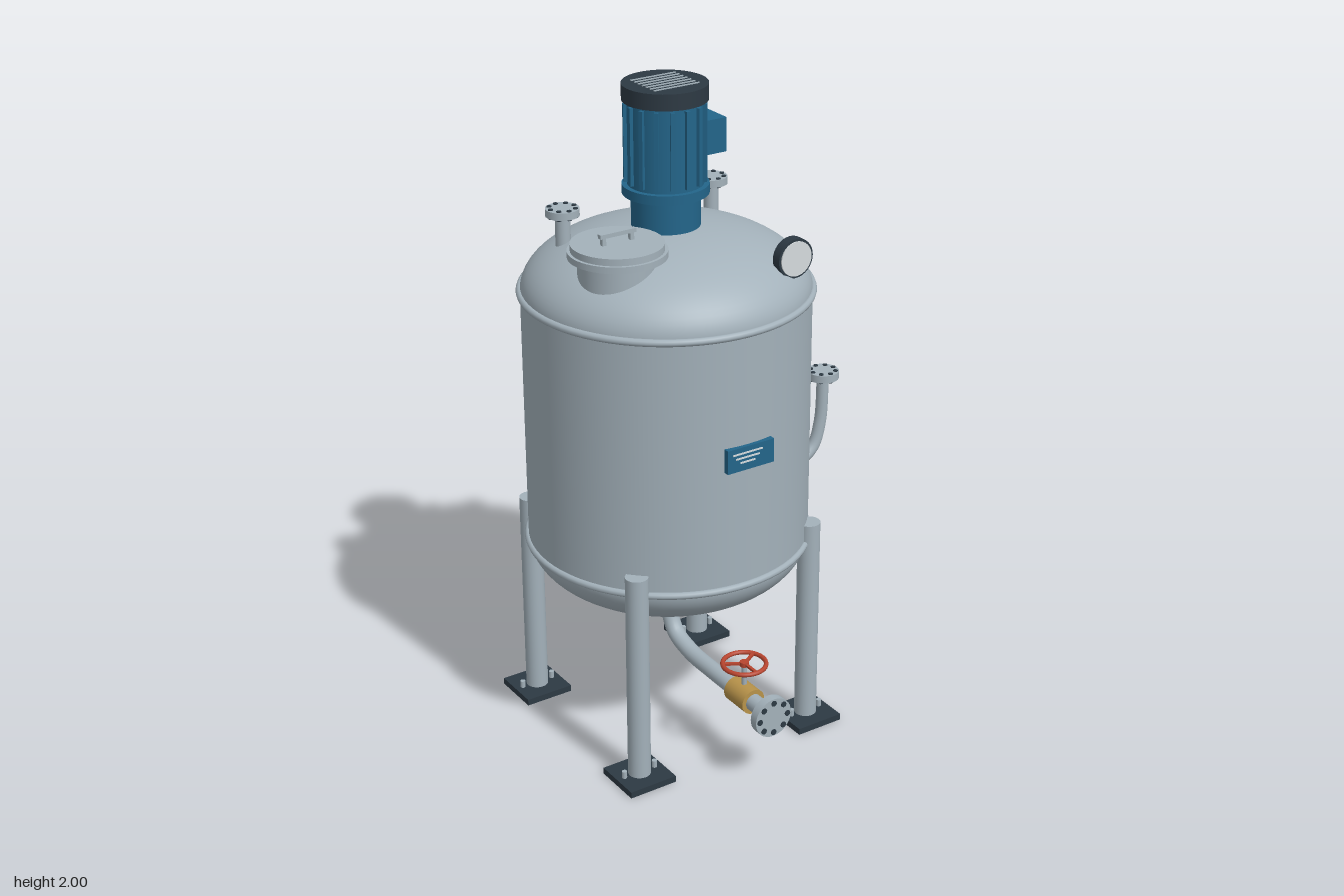
import * as THREE from 'three';

const mat = (color, side = THREE.FrontSide) => new THREE.MeshStandardMaterial({ color, side });
const V = (x, y, z) => new THREE.Vector3(x, y, z);

export function createModel() {
  const steel = mat(0xa3b1ba), dark = mat(0x2d3943), blue = mat(0x23658a);
  const brass = mat(0xb8934a), red = mat(0xb8452f), pale = mat(0xd5dbdd);
  const CX = -0.094, CZ = -0.063, R = 0.419;
  const root = new THREE.Group();
  root.name = 'mixingTank';

  function add(parent, name, geo, material, x = 0, y = 0, z = 0) {
    const m = new THREE.Mesh(geo, material);
    m.name = name;
    m.position.set(x, y, z);
    parent.add(m);
    return m;
  }
  function group(name, x, y, z, parent = root) {
    const g = new THREE.Group();
    g.name = name;
    g.position.set(x, y, z);
    parent.add(g);
    return g;
  }
  // Upright cylinder given by its bottom and top heights
  const cyl = (parent, name, r, y0, y1, material, x = 0, z = 0, seg = 32) =>
    add(parent, name, new THREE.CylinderGeometry(r, r, y1 - y0, seg), material, x, (y0 + y1) / 2, z);
  const box = (parent, name, w, h, d, material, x, y, z) =>
    add(parent, name, new THREE.BoxGeometry(w, h, d), material, x, y, z);

  // Bolted flange with its outer face at local y = 0
  function flange(name, r, t, x, y, z, parent = root) {
    const g = group(name, x, y, z, parent);
    cyl(g, 'flangeDisc', r, -t, -0.003, steel);
    for (let i = 0; i < 8; i++) {
      const a = (i / 8) * Math.PI * 2;
      cyl(g, 'flangeBolt', r * 0.15, -t - 0.004, 0, dark, Math.cos(a) * r * 0.78, Math.sin(a) * r * 0.78, 8);
    }
    return g;
  }

  // Vessel: shell with elliptical heads
  const tank = group('tank', CX, 0, CZ);
  const profile = [];
  const H = 0.195, LOW = 0.615, HIGH = 1.395, N = 20;
  for (let i = 0; i <= N; i++) {
    const a = (i / N) * Math.PI / 2;
    profile.push(new THREE.Vector2(R * Math.sin(a), LOW - H * Math.cos(a)));
  }
  for (let i = 0; i <= N; i++) {
    const a = (i / N) * Math.PI / 2;
    profile.push(new THREE.Vector2(R * Math.cos(a), HIGH + H * Math.sin(a)));
  }
  add(tank, 'vessel', new THREE.LatheGeometry(profile, 72), steel);
  for (const y of [LOW, HIGH]) {
    const ring = add(tank, 'seamRing', new THREE.TorusGeometry(R + 0.001, 0.011, 10, 72), steel, 0, y, 0);
    ring.rotation.x = Math.PI / 2;
  }

  // Four legs with bolted foot plates
  for (const sx of [-1, 1]) for (const sz of [-1, 1]) {
    const leg = group('leg', sx * 0.302, 0, sz * 0.302, tank);
    cyl(leg, 'legPost', 0.034, 0.02, 0.677, steel, 0, 0, 24);
    box(leg, 'footPlate', 0.155, 0.02, 0.155, dark, 0, 0.01, 0);
    for (const s of [-1, 1]) cyl(leg, 'anchorBolt', 0.008, 0.02, 0.042, steel, s * 0.052, 0, 10);
  }

  // Agitator motor
  const motor = group('motor', CX, 0, CZ);
  cyl(motor, 'motorMount', 0.099, 1.56, 1.69, blue, 0, 0, 40);
  cyl(motor, 'motorFlange', 0.124, 1.68, 1.708, blue, 0, 0, 40);
  cyl(motor, 'motorBody', 0.109, 1.70, 1.95, blue, 0, 0, 40);
  for (let i = 0; i < 16; i++) {
    const a = (i / 16) * Math.PI * 2;
    const fin = box(motor, 'coolingFin', 0.022, 0.225, 0.012, blue, Math.cos(a) * 0.108, 1.83, Math.sin(a) * 0.108);
    fin.rotation.y = -a;
  }
  cyl(motor, 'fanCover', 0.122, 1.95, 1.997, dark, 0, 0, 40);
  for (let i = -3; i <= 3; i++) box(motor, 'fanGrilleBar', 0.148, 0.004, 0.004, steel, 0, 1.998, i * 0.02);
  box(motor, 'terminalBox', 0.07, 0.1, 0.1, blue, 0.137, 1.83, 0);

  // Manway with lid and handle
  const manway = group('manway', -0.32, 0, 0.042);
  cyl(manway, 'manwayNeck', 0.112, 1.45, 1.575, steel, 0, 0, 48);
  cyl(manway, 'manwayFlange', 0.14, 1.568, 1.587, steel, 0, 0, 48);
  cyl(manway, 'manwayLid', 0.131, 1.587, 1.607, steel, 0, 0, 48);
  box(manway, 'lidHandle', 0.115, 0.012, 0.015, steel, 0, 1.634, 0);
  for (const s of [-1, 1]) box(manway, 'handlePost', 0.012, 0.03, 0.012, steel, s * 0.045, 1.618, 0);

  // Two top nozzles
  for (const x of [-0.345, 0.159]) {
    cyl(root, 'nozzleNeck', 0.022, 1.49, 1.62, steel, x, -0.211, 24);
    flange('nozzleFlange', 0.049, 0.025, x, 1.64, -0.211);
  }

  // Sight glass facing forward
  const sight = group('sightGlass', 0.132, 1.53, 0.24);
  sight.rotation.x = Math.PI / 2;
  cyl(sight, 'sightRim', 0.058, -0.017, 0.013, dark);
  cyl(sight, 'sightPane', 0.051, 0, 0.017, pale);

  // Name plate with blank lines
  const plate = group('namePlate', CX, 1.025, 0.356);
  box(plate, 'plate', 0.156, 0.072, 0.022, blue, 0, 0, 0);
  [0.1, 0.08, 0.05].forEach((w, i) =>
    box(plate, 'plateLine', w, 0.005, 0.003, pale, -0.012, 0.018 - i * 0.014, 0.0115));

  // Side pipe: runs out, then bends upward
  const sidePath = new THREE.CatmullRomCurve3([V(0.29, 0.712, CZ), V(0.39, 0.708, CZ),
    V(0.44, 0.74, CZ), V(0.467, 0.82, CZ), V(0.475, 0.975, CZ)]);
  add(root, 'sidePipe', new THREE.TubeGeometry(sidePath, 40, 0.019, 16), steel);
  flange('sideFlange', 0.049, 0.027, 0.475, 0.995, CZ);

  // Drain pipe: drops from the bottom and runs forward
  const drainPath = new THREE.CatmullRomCurve3([V(CX, 0.45, CZ), V(CX, 0.36, CZ - 0.003),
    V(CX, 0.275, -0.03), V(CX, 0.243, 0.05), V(CX, 0.235, 0.2), V(CX, 0.235, 0.47)]);
  add(root, 'drainPipe', new THREE.TubeGeometry(drainPath, 48, 0.026, 20), steel);
  flange('drainFlange', 0.062, 0.03, CX, 0.235, 0.495).rotation.x = Math.PI / 2;

  // Drain valve with hand wheel
  const valve = group('drainValve', CX, 0.235, 0.342);
  const body = add(valve, 'valveBody', new THREE.CylinderGeometry(0.039, 0.039, 0.095, 24), brass);
  body.rotation.x = Math.PI / 2;
  cyl(valve, 'valveStem', 0.008, 0.03, 0.112, steel, 0, 0, 12);
  const wheel = group('handWheel', 0, 0.107, 0, valve);
  add(wheel, 'wheelRim', new THREE.TorusGeometry(0.064, 0.007, 10, 36), red).rotation.x = Math.PI / 2;
  cyl(wheel, 'wheelHub', 0.014, -0.007, 0.007, red, 0, 0, 16);
  for (let i = 0; i < 3; i++) {
    const a = Math.PI / 2 + (i / 3) * Math.PI * 2;
    const spoke = box(wheel, 'wheelSpoke', 0.064, 0.007, 0.009, red, Math.cos(a) * 0.032, 0, Math.sin(a) * 0.032);
    spoke.rotation.y = -a;
  }
  return root;
}
